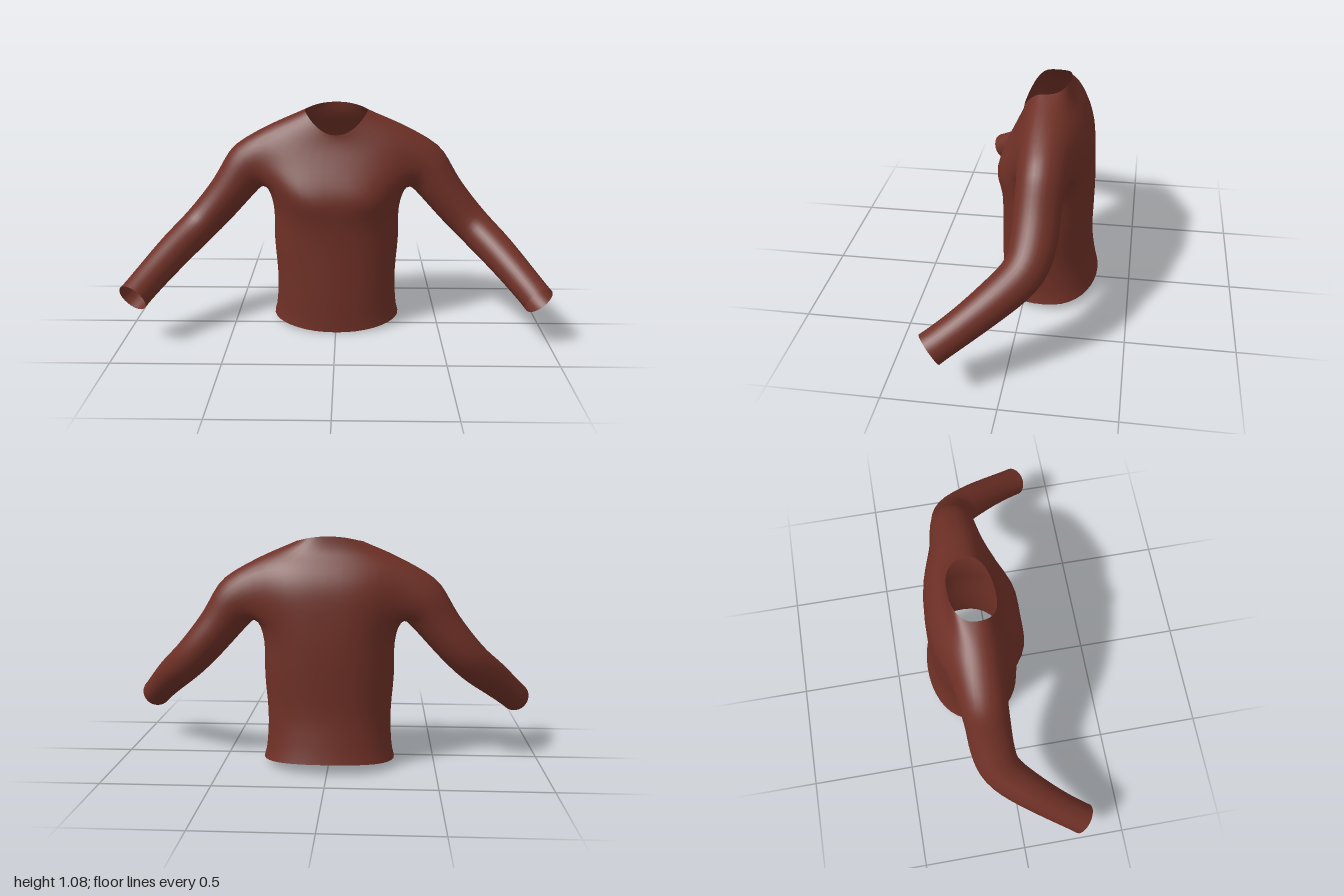
import * as THREE from 'three';

const COLS = 40, SUB = 2, HALF = 4;     // columns round the body, rows per section, half armhole width
const HOLE_LOW = 7 * SUB, HOLE_TOP = 11 * SUB;

// body sections from hem to neck: y front, y side, y back, half width, z front, z back
const body = [
  [0.005, 0.035, 0.055, 0.310, 0.132, -0.340],
  [0.09, 0.10, 0.13, 0.300, 0.135, -0.328],
  [0.20, 0.20, 0.22, 0.295, 0.135, -0.312],
  [0.30, 0.30, 0.30, 0.296, 0.132, -0.306],
  [0.44, 0.44, 0.44, 0.316, 0.130, -0.314],
  [0.54, 0.55, 0.55, 0.304, 0.133, -0.318],
  [0.60, 0.63, 0.64, 0.318, 0.140, -0.318],
  [0.655, 0.69, 0.72, 0.340, 0.140, -0.314],
  [0.72, 0.77, 0.79, 0.375, 0.122, -0.308],
  [0.78, 0.83, 0.86, 0.395, 0.095, -0.295],
  [0.83, 0.89, 0.92, 0.405, 0.070, -0.268],
  [0.87, 0.948, 0.965, 0.390, 0.050, -0.238],
  [0.90, 0.99, 0.995, 0.310, 0.038, -0.215],
  [0.925, 1.025, 1.03, 0.230, 0.030, -0.200],
  [0.95, 1.055, 1.08, 0.150, 0.025, -0.190],
];

// left sleeve sections: centre x, y, z, radius across, radius in depth
const sleeve = [
  [0.430, 0.790, -0.108, 0.125, 0.112],
  [0.500, 0.685, -0.100, 0.104, 0.106],
  [0.590, 0.575, -0.096, 0.096, 0.104],
  [0.680, 0.480, -0.068, 0.090, 0.098],
  [0.770, 0.400, 0.035, 0.086, 0.088],
  [0.860, 0.312, 0.165, 0.078, 0.078],
  [0.935, 0.235, 0.290, 0.073, 0.075],
];

// smooth interpolation between the rows of a table
function sampler(table) {
  const n = table[0].length;
  const curve = new THREE.CubicInterpolant(table.map((_, i) => i), table.flat(), n, new Float32Array(n));
  return t => Array.from(curve.evaluate(t));
}

const bump = (d, w) => Math.exp(-(d / w) * (d / w));
const power = (v, p) => Math.sign(v) * Math.abs(v) ** p;

function bodyPoint([yF, yS, yB, w, zF, zB], angle) {
  const c = Math.cos(angle), s = Math.sin(angle);
  const x = w * power(c, 0.95);
  const y = yS + (s > 0 ? yF - yS : yB - yS) * s * s;
  let z = (zF + zB) / 2 + (zF - zB) / 2 * power(s, 0.85);
  if (s > 0) z += 0.026 * bump(Math.abs(x) - 0.15, 0.09) * bump(y - 0.65, 0.08);   // chest
  else z += 0.018 * bump(x, 0.05) * bump(y - 0.72, 0.22);                          // spine groove
  return new THREE.Vector3(x, y, z);
}

// ring of the left sleeve, starting at its upper side and turning to the front
function sleeveRing(at, t, count) {
  const last = sleeve.length - 1;
  const [x, y, z, rU, rD] = at(t);
  const centre = new THREE.Vector3(x, y, z);
  const ahead = new THREE.Vector3(...at(Math.min(last, t + 0.2)).slice(0, 3));
  const behind = new THREE.Vector3(...at(Math.max(0, t - 0.2)).slice(0, 3));
  const axis = ahead.sub(behind).normalize();
  axis.x += 0.55 * Math.max(0, 1 - t);
  axis.normalize();
  const depth = new THREE.Vector3(0, 0, 1).addScaledVector(axis, -axis.z).normalize();
  const up = depth.clone().cross(axis);
  return Array.from({ length: count }, (_, i) => {
    const a = i / count * Math.PI * 2;
    return centre.clone().addScaledVector(up, rU * Math.cos(a)).addScaledVector(depth, rD * Math.sin(a));
  });
}

// average each inner vertex with its neighbours, leaving the open edges alone
function relax(points, index, fixed, rounds) {
  const near = points.map(() => new Set());
  for (let i = 0; i < index.length; i += 3) {
    for (let k = 0; k < 3; k++) {
      const a = index[i + k], b = index[i + (k + 1) % 3];
      near[a].add(b);
      near[b].add(a);
    }
  }
  for (let r = 0; r < rounds; r++) {
    const old = points.map(p => p.clone());
    points.forEach((p, i) => {
      if (fixed.has(i)) return;
      const mean = new THREE.Vector3();
      near[i].forEach(j => mean.add(old[j]));
      p.lerp(mean.divideScalar(near[i].size), 0.5);
    });
  }
}

function sweaterGeometry() {
  const points = [], index = [], fixed = new Set();
  const add = p => points.push(p) - 1;
  const quad = (a, b, c, d) => index.push(a, b, c, a, c, d);
  const wrap = j => (j + COLS) % COLS;
  // column distance from the nearer side seam
  const fromSide = j => Math.min(wrap(j), COLS - wrap(j), Math.abs(wrap(j) - COLS / 2));

  // body with an armhole left open on each side
  const at = sampler(body), rows = (body.length - 1) * SUB;
  const grid = [];
  for (let r = 0; r <= rows; r++) {
    const section = at(r / SUB);
    grid.push([]);
    for (let j = 0; j < COLS; j++) {
      const inside = r > HOLE_LOW && r < HOLE_TOP && fromSide(j) < HALF;
      const id = inside ? -1 : add(bodyPoint(section, j / COLS * Math.PI * 2));
      grid[r].push(id);
      if (r === 0 || r === rows) fixed.add(id);
    }
  }
  for (let r = 0; r < rows; r++) {
    for (let j = 0; j < COLS; j++) {
      const k = wrap(j + 1);
      const open = r >= HOLE_LOW && r < HOLE_TOP && fromSide(j) <= HALF && fromSide(k) <= HALF;
      if (!open) quad(grid[r][j], grid[r + 1][j], grid[r + 1][k], grid[r][k]);
    }
  }

  // armhole edge: top middle, front, bottom, back
  const edge = [];
  for (let j = 0; j < HALF; j++) edge.push([HOLE_TOP, j]);
  for (let r = HOLE_TOP; r > HOLE_LOW; r--) edge.push([r, HALF]);
  for (let j = HALF; j > -HALF; j--) edge.push([HOLE_LOW, j]);
  for (let r = HOLE_LOW; r < HOLE_TOP; r++) edge.push([r, -HALF]);
  for (let j = -HALF; j < 0; j++) edge.push([HOLE_TOP, j]);

  // sleeves grown out of the armholes, the right one mirrored
  const arm = sampler(sleeve), steps = (sleeve.length - 1) * 4, n = edge.length;
  for (const side of [1, -1]) {
    let previous = edge.map(([r, j]) => grid[r][wrap(side > 0 ? j : COLS / 2 - j)]);
    const join = ring => {
      const next = ring.map(add);
      for (let i = 0; i < n; i++) {
        const k = (i + 1) % n;
        if (side > 0) quad(previous[i], previous[k], next[k], next[i]);
        else quad(previous[i], next[i], next[k], previous[k]);
      }
      previous = next;
    };
    for (let s = 0; s <= steps; s++) {
      const ring = sleeveRing(arm, s / 4, n);
      ring.forEach(p => { p.x *= side; });
      if (s === 0) join(ring.map((p, i) => p.clone().lerp(points[previous[i]], 0.5)));
      join(ring);
    }
    previous.forEach(i => fixed.add(i));
  }

  relax(points, index, fixed, 4);
  const geometry = new THREE.BufferGeometry().setFromPoints(points);
  geometry.setIndex(index);
  geometry.computeVertexNormals();
  return geometry;
}

export function createModel() {
  const wool = new THREE.MeshStandardMaterial({ color: 0x6e3026, side: THREE.DoubleSide });
  wool.name = 'russet wool';
  const sweater = new THREE.Mesh(sweaterGeometry(), wool);
  sweater.name = 'sweater';
  const model = new THREE.Group();
  model.name = 'longSleevedSweater';
  model.add(sweater);
  return model;
}
